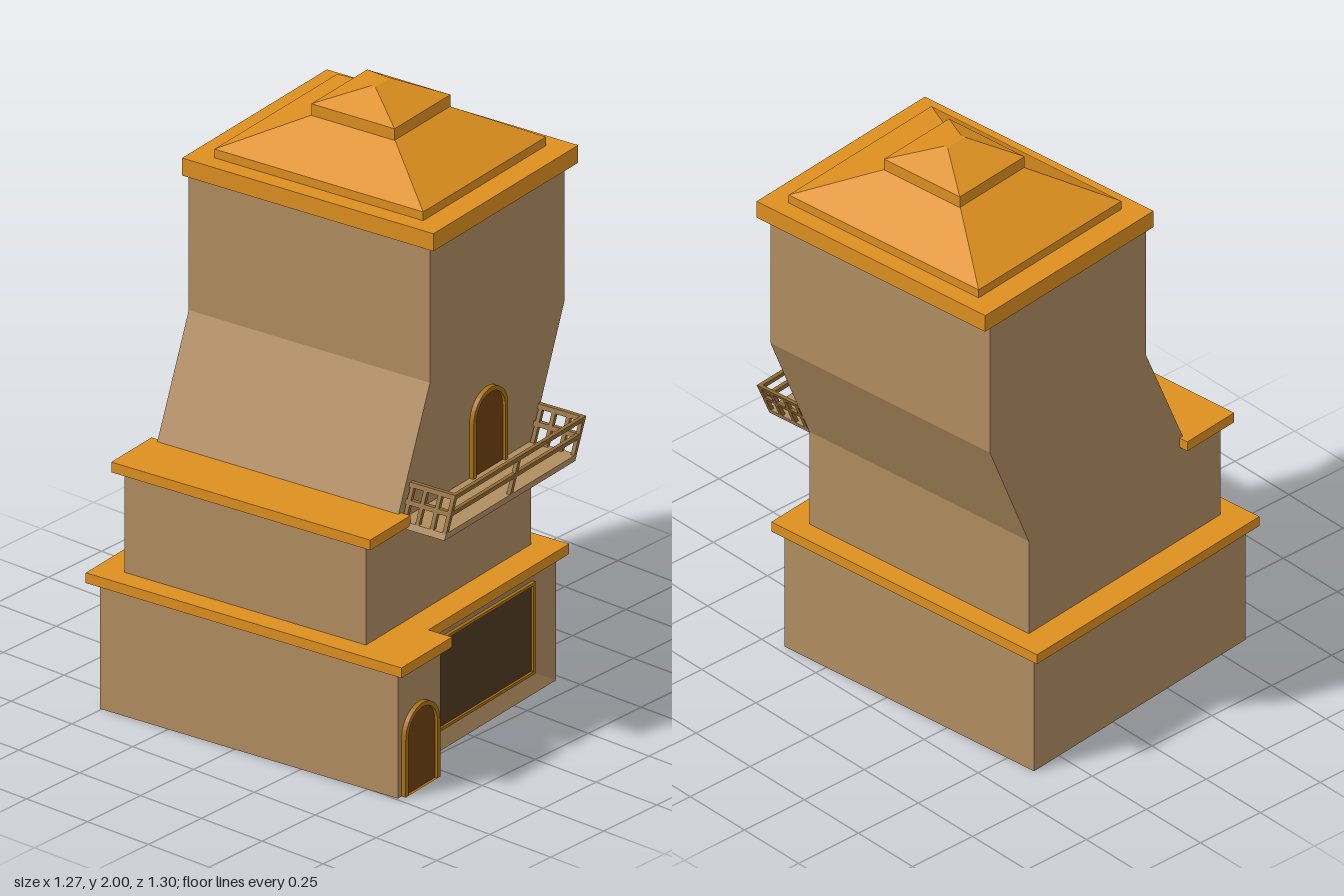
import * as THREE from 'three';

const paint = (color) => new THREE.MeshStandardMaterial({ color, flatShading: true });
const wall = paint(0xb08d60), roof = paint(0xdd8f1f), wood = paint(0x6f3f10);
const trim = paint(0xa8700f), dark = paint(0x513a20), railWood = paint(0x8f6a35);

// Closed solid through rectangular sections, each [y, x0, x1, z0, z1]
function loft(rings) {
  const pos = [], index = [];
  for (const [y, x0, x1, z0, z1] of rings) pos.push(x0, y, z1, x1, y, z1, x1, y, z0, x0, y, z0);
  const last = (rings.length - 1) * 4;
  for (let r = 0; r < last; r += 4) {
    for (let i = 0; i < 4; i++) {
      const a = r + i, b = r + (i + 1) % 4;
      index.push(a, b, b + 4, a, b + 4, a + 4);
    }
  }
  index.push(0, 2, 1, 0, 3, 2, last, last + 1, last + 2, last, last + 2, last + 3);
  const g = new THREE.BufferGeometry();
  g.setAttribute('position', new THREE.Float32BufferAttribute(pos, 3));
  g.setIndex(index);
  const flat = g.toNonIndexed();
  flat.computeVertexNormals();
  return flat;
}

const slab = (x0, x1, y0, y1, z0, z1) => loft([[y0, x0, x1, z0, z1], [y1, x0, x1, z0, z1]]);

function archShape(halfWidth, straight, PathType = THREE.Shape) {
  const s = new PathType();
  s.moveTo(-halfWidth, 0);
  s.lineTo(halfWidth, 0);
  s.lineTo(halfWidth, straight);
  s.absarc(0, straight, halfWidth, 0, Math.PI, false);
  s.lineTo(-halfWidth, 0);
  return s;
}

export function createModel() {
  const model = new THREE.Group();
  model.name = 'tower';
  const house = new THREE.Group();
  house.name = 'house';
  house.rotation.y = THREE.MathUtils.degToRad(6);
  model.add(house);

  const add = (name, geometry, material, parent = house) => {
    const mesh = new THREE.Mesh(geometry, material);
    mesh.name = name;
    parent.add(mesh);
    return mesh;
  };

  // Ground floor: entry wing and hall whose front bevels in to the window
  add('entryWing', slab(-0.554, -0.325, 0, 0.43, -0.568, 0.56), wall);
  const hall = loft([
    [-0.568, -0.325, 0.428, -0.43, 0],
    [0.47, -0.325, 0.428, -0.43, 0],
    [0.445, -0.245, 0.335, -0.37, -0.055],
  ]);
  hall.rotateX(Math.PI / 2);
  add('hall', hall, wall);

  // Shop window with a thin frame
  add('windowPanel', slab(-0.24, 0.33, 0.06, 0.365, 0.44, 0.449), dark);
  for (const y of [0.055, 0.36]) add('windowFrameBar', slab(-0.245, 0.335, y, y + 0.01, 0.44, 0.457), trim);
  for (const x of [-0.245, 0.325]) add('windowFrameSide', slab(x, x + 0.01, 0.055, 0.37, 0.44, 0.457), trim);

  // Ground floor roof edge
  add('lowerRoof', slab(-0.577, 0.455, 0.43, 0.465, -0.605, 0.5), roof);
  add('entryRoof', slab(-0.577, -0.304, 0.43, 0.465, 0.5, 0.59), roof);

  // Middle floor with its side ledge
  add('middleFloor', slab(-0.505, 0.385, 0.46, 0.81, -0.508, 0.405), wall);
  add('sideLedge', slab(-0.532, -0.315, 0.81, 0.845, -0.54, 0.44), roof);

  // Upper floors: leaning part, then straight
  add('upperTower', loft([
    [0.81, -0.345, 0.385, -0.508, 0.405],
    [1.23, -0.16, 0.565, -0.508, 0.405],
    [1.71, -0.16, 0.565, -0.508, 0.405],
  ]), wall);

  // Stepped hipped roof
  add('eaves', slab(-0.186, 0.595, 1.7, 1.76, -0.515, 0.436), roof);
  add('hippedRoof', loft([
    [1.76, -0.127, 0.535, -0.434, 0.356],
    [1.79, -0.127, 0.535, -0.434, 0.356],
    [1.905, 0.065, 0.346, -0.185, 0.11],
  ]), roof);
  add('roofCap', loft([
    [1.9, 0.055, 0.356, -0.195, 0.12],
    [1.94, 0.055, 0.356, -0.195, 0.12],
    [2.0, 0.165, 0.245, -0.045, -0.03],
  ]), roof);

  // Arched doors
  const frameShape = archShape(0.093, 0.197);
  frameShape.holes.push(archShape(0.078, 0.197, THREE.Path));
  const solid = (shape, depth) => new THREE.ExtrudeGeometry(shape, { depth, bevelEnabled: false, curveSegments: 10 });
  for (const [name, x, y, z] of [['entryDoor', -0.441, 0, 0.55], ['balconyDoor', 0.146, 0.81, 0.395]]) {
    const door = new THREE.Group();
    door.name = name;
    door.position.set(x, y, z);
    add('doorFrame', solid(frameShape, 0.026), trim, door);
    add('doorLeaf', solid(archShape(0.08, 0.197), 0.016), wood, door);
    house.add(door);
  }

  // Balcony, leaning sideways with the tower
  const balcony = new THREE.Group();
  balcony.name = 'balcony';
  house.add(balcony);
  const lean = (x0, x1, y0, y1, z0, z1) => {
    const k0 = (y0 - 0.8) * 0.45, k1 = (y1 - 0.8) * 0.45;
    return loft([[y0, x0 + k0, x1 + k0, z0, z1], [y1, x0 + k1, x1 + k1, z0, z1]]);
  };
  const L = -0.327, R = 0.378, F = 0.577, t = 0.014;
  add('balconyFloor', lean(L, R, 0.8, 0.82, 0.4, F), wall, balcony);
  for (const y of [0.868, 0.918]) {
    add('frontRail', lean(L, R, y, y + t, F - t, F), railWood, balcony);
    for (const x of [L, R - t]) add('sideRail', lean(x, x + t, y, y + t, 0.4, F), railWood, balcony);
  }
  for (const x of [L, (L + R - t) / 2, R - t]) add('frontPost', lean(x, x + t, 0.82, 0.932, F - t, F), railWood, balcony);
  for (const x of [L, R - t]) {
    for (const z of [0.41, 0.46, 0.515]) add('sidePost', lean(x, x + t, 0.82, 0.932, z, z + t), railWood, balcony);
  }
  return model;
}
